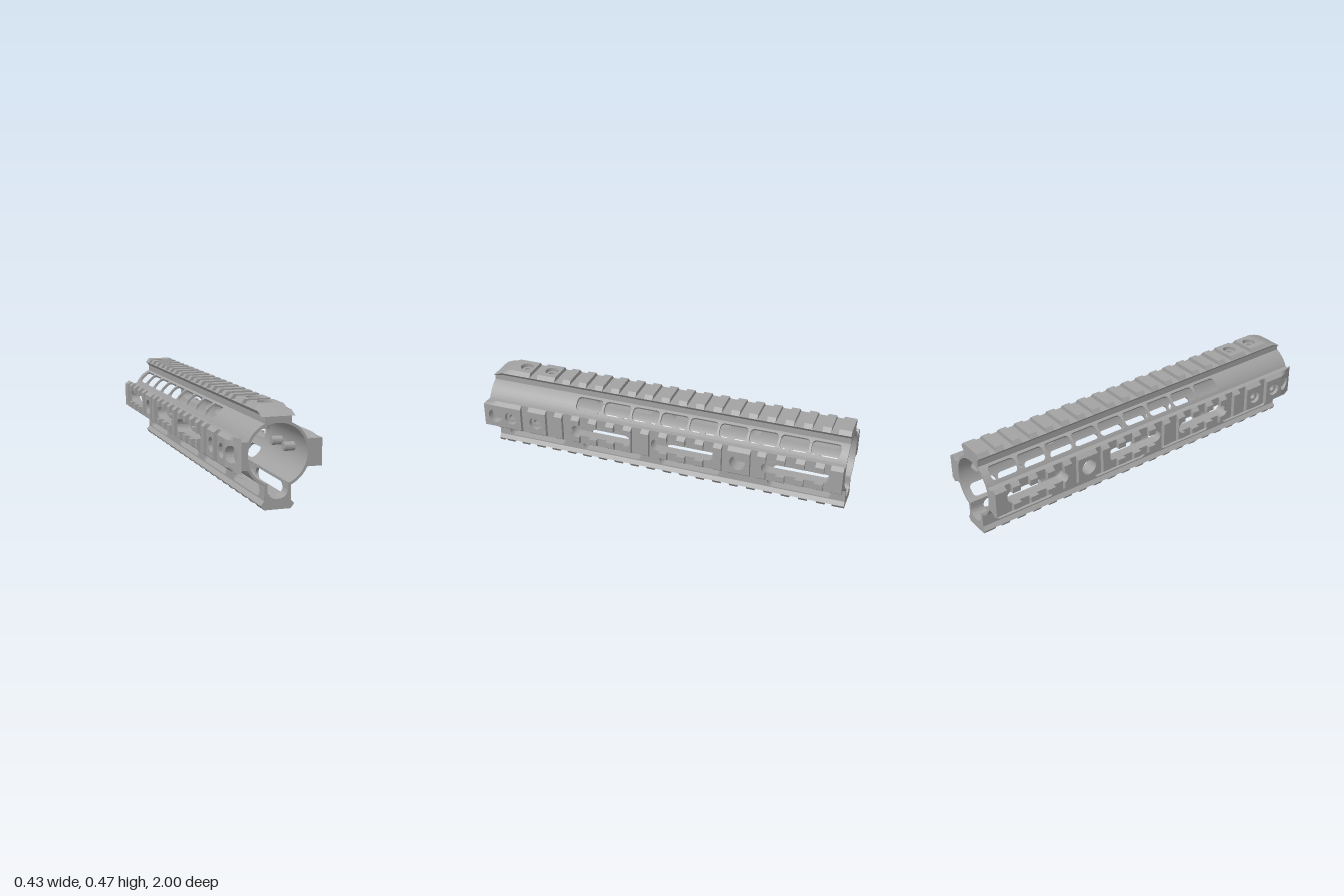
import * as THREE from 'three';
import { toCreasedNormals, mergeGeometries } from 'three/addons/utils/BufferGeometryUtils.js';

const R = 0.145, RO = 0.158, NECK = 0.065, WIDE = 0.082, AXIS = 0.255;
const rad = THREE.MathUtils.degToRad;

// Lofts a counter-clockwise cross-section along z, with capped ends
function loft(zs, section, mirror = false) {
  const rings = zs.map((z) => {
    const pts = section(z);
    const ring = mirror ? pts.map(([x, y]) => [-x, y]).reverse() : pts;
    return ring.map(([x, y]) => new THREE.Vector3(x, y, z));
  });
  const pos = [], tri = new THREE.Triangle();
  const add = (a, b, c) => {
    if (tri.set(a, b, c).getArea() > 1e-9) for (const p of [a, b, c]) pos.push(p.x, p.y, p.z);
  };
  for (let k = 0; k < rings.length - 1; k++) {
    const A = rings[k], B = rings[k + 1];
    for (let i = 0; i < A.length; i++) {
      const j = (i + 1) % A.length;
      add(A[i], A[j], B[j]);
      add(A[i], B[j], B[i]);
    }
  }
  const cap = (ring, front) => {
    const flat = ring.map((p) => new THREE.Vector2(p.x, p.y));
    for (const [a, b, c] of THREE.ShapeUtils.triangulateShape(flat, [])) {
      const up = (flat[b].x - flat[a].x) * (flat[c].y - flat[a].y) - (flat[b].y - flat[a].y) * (flat[c].x - flat[a].x) > 0;
      if (up === front) add(ring[a], ring[b], ring[c]);
      else add(ring[a], ring[c], ring[b]);
    }
  };
  cap(rings[0], false);
  cap(rings[rings.length - 1], true);
  return new THREE.BufferGeometry().setAttribute('position', new THREE.Float32BufferAttribute(pos, 3));
}

// Holes: centre c, half length L along z, half height H, corner radius r
const hole = (c, L, H, r = H) => ({ c, L, H, r });
function halfHeight(holes, z) {
  for (const { c, L, H, r } of holes) {
    const d = L - Math.abs(z - c);
    if (d >= 0) return d >= r ? H : H - r + Math.sqrt(Math.max(0, r * r - (r - d) ** 2));
  }
  return 0;
}
function stations(a, b, holes, extra = []) {
  const zs = [a, b, ...extra];
  for (const { c, L, r } of holes)
    for (const s of [-1, 1]) {
      zs.push(c + s * (L + 1e-4));
      for (let i = 0; i <= 6; i++) zs.push(c + s * (L - 1e-6 - r * (1 - Math.cos((i * Math.PI) / 12))));
    }
  return [...new Set(zs)].filter((z) => z >= a && z <= b).sort((p, q) => p - q);
}

// A wall pierced by a row of holes: the strips on both sides of the holes
function panel(lo, hi, mid, holes, unit, outer, inner, n, mirror) {
  const zs = stations(-1, 1, holes);
  const strip = (from, to) => (z) => {
    const a = from(z), b = to(z), pts = [];
    for (let i = 0; i <= n; i++) pts.push(outer(a + ((b - a) * i) / n));
    for (let i = n; i >= 0; i--) pts.push(inner(a + ((b - a) * i) / n));
    return pts;
  };
  const h = (z) => halfHeight(holes, z) * unit;
  return [
    loft(zs, strip(() => lo, (z) => mid - h(z)), mirror),
    loft(zs, strip((z) => mid + h(z), () => hi), mirror),
  ];
}

const range = (n, f) => Array.from({ length: n }, (_, i) => f(i));
const tooth = (z) => [z - 0.0225, z + 0.0225];
const spread = (n, a, b) => range(n, (i) => tooth(a + ((b - a) * i) / (n - 1)));

export function createModel() {
  const model = new THREE.Group();
  const metal = new THREE.MeshStandardMaterial({ color: 0xa2a2a2 });
  metal.name = 'grey metal';
  const mesh = (name, geos, parent) => {
    const m = new THREE.Mesh(toCreasedNormals(mergeGeometries(geos), 0.5), metal);
    m.name = name;
    parent.add(m);
    return m;
  };
  const body = new THREE.Group();
  body.name = 'handguard';
  body.position.y = AXIS;
  model.add(body);

  // Tube quarters with a row of nine rounded windows each
  const windows = range(9, (i) => hole(0.41 - i * 0.162, 0.075, 0.0366, 0.022));
  const polar = (r) => (a) => [r * Math.cos(a), r * Math.sin(a)];
  for (const mirror of [false, true]) {
    const side = mirror ? 'right' : 'left';
    mesh(side + 'UpperTubeWall', panel(rad(24.5), rad(65.5), rad(46), windows, 1 / 0.15, polar(RO), polar(R), 8, mirror), body);
    mesh(side + 'LowerTubeWall', panel(rad(-70), rad(-24.5), rad(-46), windows, 1 / 0.15, polar(RO), polar(R), 8, mirror), body);
  }

  // Lower channel walls with long slots and filleted inner corners
  const sideSlots = [hole(0.3075, 0.173, 0.034), hole(-0.1475, 0.173, 0.034), hole(-0.755, 0.173, 0.034)];
  const channelSlots = [0.765, 0.3075, -0.1475, -0.755].map((c) => hole(c, 0.173, 0.031));
  const channelInner = (u) => {
    const d = Math.max(0, 0.09 - AXIS - u);
    return [0.01 + Math.sqrt(Math.max(0, 0.0016 - d * d)), u];
  };
  for (const mirror of [false, true])
    mesh((mirror ? 'right' : 'left') + 'ChannelWall',
      panel(0.043 - AXIS, 0.122 - AXIS, 0.078 - AXIS, channelSlots, 1, (u) => [NECK, u], channelInner, 8, mirror), body);

  // A rail pointing up: neck, flared head and cross teeth, then turned into place
  function rail(name, angle, { teeth, through = [], bores = [], lift = 0, ramp = false, taper = false, inner }) {
    const group = new THREE.Group();
    group.name = name;
    group.rotation.z = angle;
    body.add(group);
    const all = [...through, ...bores];
    const extra = [0.9, 0.93, 0.952];
    const cut = (w, z) => (ramp ? Math.min(w, 0.217 - 0.42 * Math.max(0, z - 0.9)) : w) + lift;
    const wide = (z) => NECK + (WIDE - NECK) * (taper ? Math.min(1, (1 - z) / 0.07) : 1);
    const both = (a, b, holes, section) => [false, true].map((m) =>
      loft(stations(a, b, holes, extra), (z) => section(z, halfHeight(holes, z)), m));

    mesh('railNeck', both(-1, 1, through, (z, h) => [
      ...range(7, (i) => { const v = h + ((NECK - h) * i) / 6; return [v, inner(v)]; }),
      [NECK, 0.175 + lift], [h, 0.175 + lift],
    ]), group);
    mesh('railHead', both(-1, 1, all, (z, h) => [
      [h, cut(0.175, z)], [NECK, cut(0.175, z)], [wide(z), cut(0.195, z)], [h, cut(0.195, z)],
    ]), group);
    mesh('railTeeth', teeth.flatMap(([a, b]) => both(a, b, all, (z, h) => [
      [h, cut(0.195, z)], [wide(z), cut(0.195, z)], [NECK, cut(0.217, z)], [h, cut(0.217, z)],
    ])), group);
    return group;
  }

  // Socket screws: ring head with a hexagonal hole, and a shank inside the tube
  function screws(group, zs) {
    for (const z of zs) {
      const shape = new THREE.Shape().absarc(0, 0, 0.031, 0, Math.PI * 2);
      shape.holes.push(new THREE.Path(range(6, (i) => new THREE.Vector2(0.018, 0).rotateAround(new THREE.Vector2(), (i * Math.PI) / 3))));
      const head = new THREE.ExtrudeGeometry(shape, { depth: 0.025, bevelEnabled: false, curveSegments: 16 });
      head.rotateX(-Math.PI / 2).translate(0, 0.175, z);
      mesh('screwHead', [head], group);
      const shank = new THREE.CylinderGeometry(0.022, 0.022, 0.065, 20).translate(0, 0.1225, z);
      mesh('screwShank', [shank], group);
    }
  }

  const arc = (v) => Math.sqrt(R * R - v * v);
  const backEnd = [-1, -0.935], frontBlocks = [[0.63, 0.735], [0.78, 1]];

  // Top rail
  const top = rail('topRail', 0, {
    teeth: [backEnd, ...spread(16, -0.875, 0.56), ...frontBlocks],
    bores: [hole(0.83, 0.036, 0.036), hole(0.68, 0.036, 0.036)], ramp: true, inner: arc,
  });
  screws(top, [0.83, 0.68]);

  // Side rails with long slots, a round cross hole and blind front sockets
  for (const s of [1, -1]) {
    const side = rail(s > 0 ? 'leftRail' : 'rightRail', (-s * Math.PI) / 2, {
      teeth: [backEnd, ...spread(4, -0.88, -0.58), [-0.52, -0.4], ...spread(10, -0.345, 0.555), ...frontBlocks],
      through: [...sideSlots, hole(-0.455, 0.042, 0.042)],
      bores: [hole(0.935, 0.04, 0.04), hole(0.84, 0.036, 0.036), hole(0.69, 0.036, 0.036)],
      ramp: s < 0, taper: s > 0, inner: arc,
    });
    screws(side, [0.84, 0.69]);
  }

  // Bottom rail, toothed along its whole length
  rail('bottomRail', Math.PI, {
    teeth: [backEnd, ...spread(20, -0.875, 0.935), [0.975, 1]],
    lift: 0.038, inner: () => AXIS - 0.049,
  });
  return model;
}
